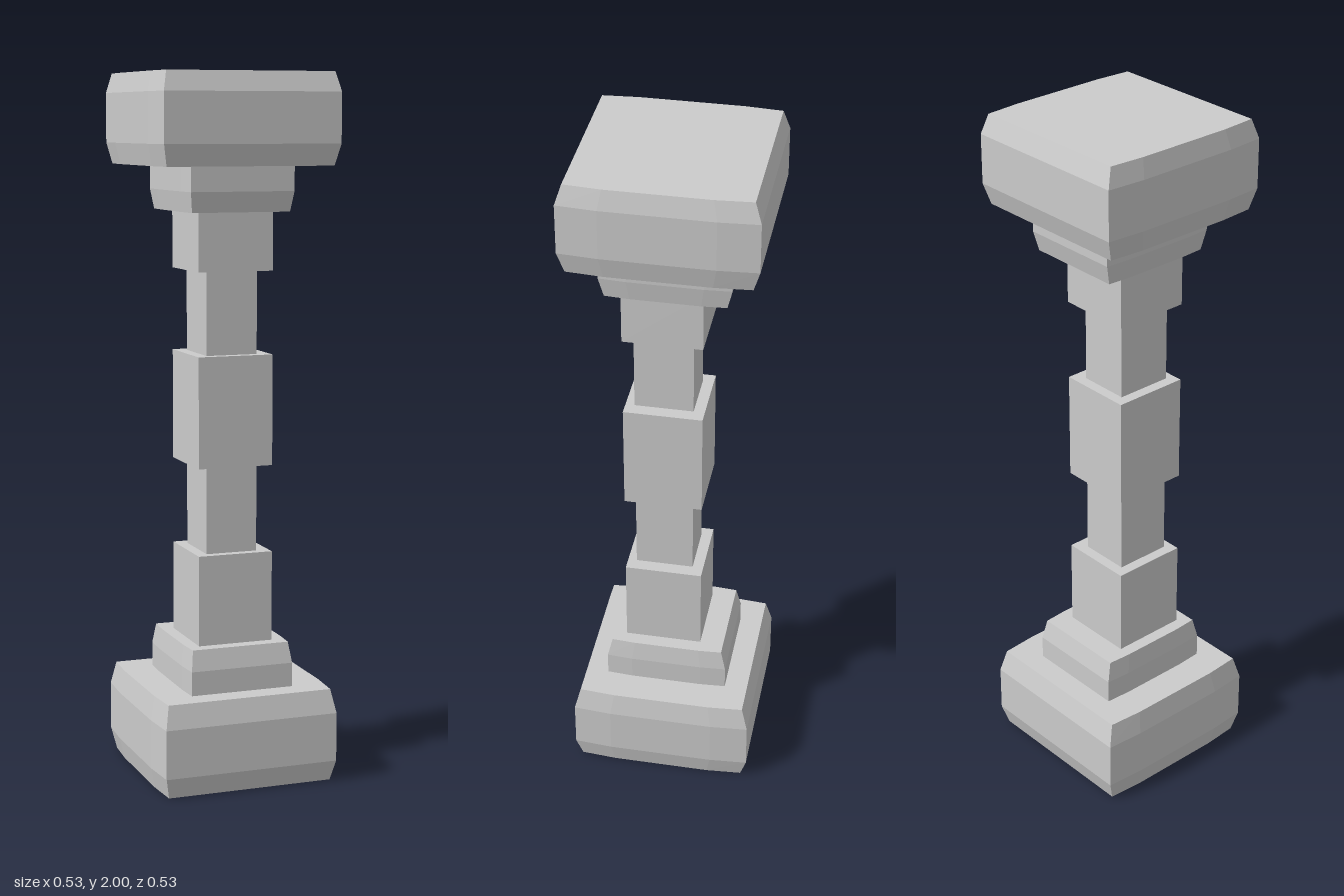
import * as THREE from 'three';

const material = new THREE.MeshStandardMaterial({ color: 0xcccccc, flatShading: true });

// Bevelled block: flat front and back, sides bowed outward in x.
// levels: [y, halfWidth, halfDepth] from bottom to top.
function bowedBlock(levels) {
  const positions = [], index = [], n = 8;
  for (const [y, w, d] of levels) {
    const c = w * 0.97, k = d * 0.58;
    const ring = [[c, d], [w, k], [w, -k], [c, -d], [-c, -d], [-w, -k], [-w, k], [-c, d]];
    for (const [x, z] of ring) positions.push(x, y, z);
  }
  const top = (levels.length - 1) * n;
  for (let l = 0; l < top; l += n) {
    for (let i = 0; i < n; i++) {
      const j = (i + 1) % n;
      index.push(l + i, l + j, l + n + j, l + i, l + n + j, l + n + i);
    }
  }
  for (let i = 1; i < n - 1; i++) {
    index.push(0, i + 1, i, top, top + i, top + i + 1);
  }
  const indexed = new THREE.BufferGeometry();
  indexed.setAttribute('position', new THREE.Float32BufferAttribute(positions, 3));
  indexed.setIndex(index);
  const geometry = indexed.toNonIndexed();
  geometry.computeVertexNormals();
  return geometry;
}

export function createModel() {
  const group = new THREE.Group();
  const add = (name, geometry, x = 0, y = 0, z = 0) => {
    const mesh = new THREE.Mesh(geometry, material);
    mesh.name = name;
    mesh.position.set(x, y, z);
    group.add(mesh);
  };

  // Base and capital, bevelled at top and bottom
  add('base', bowedBlock([
    [0, 0.25, 0.245], [0.06, 0.263, 0.263], [0.2, 0.263, 0.263], [0.267, 0.25, 0.245]]));
  add('capital', bowedBlock([
    [1.745, 0.25, 0.245], [1.805, 0.263, 0.263], [1.945, 0.263, 0.263], [2, 0.25, 0.245]]));

  // Collars tapering towards the shaft
  add('lowerCollar', bowedBlock([
    [0.25, 0.156, 0.179], [0.336, 0.156, 0.179], [0.395, 0.148, 0.165]]), 0, 0, 0.001);
  add('upperCollar', bowedBlock([
    [1.618, 0.148, 0.165], [1.675, 0.156, 0.179], [1.76, 0.156, 0.179]]), 0, 0, 0.001);

  // Wide square blocks along the shaft
  const blocks = [['lowerBlock', 0.39, 0.654], ['middleBlock', 0.903, 1.218], ['upperBlock', 1.453, 1.625]];
  for (const [name, y0, y1] of blocks) {
    add(name, new THREE.BoxGeometry(0.22, y1 - y0, 0.224), -0.002, (y0 + y1) / 2, 0.017);
  }

  // Narrow necks between the blocks
  const necks = [['lowerNeck', 0.65, 0.907], ['upperNeck', 1.214, 1.457]];
  for (const [name, y0, y1] of necks) {
    add(name, new THREE.BoxGeometry(0.15, y1 - y0, 0.167), -0.005, (y0 + y1) / 2, 0.02);
  }
  return group;
}
